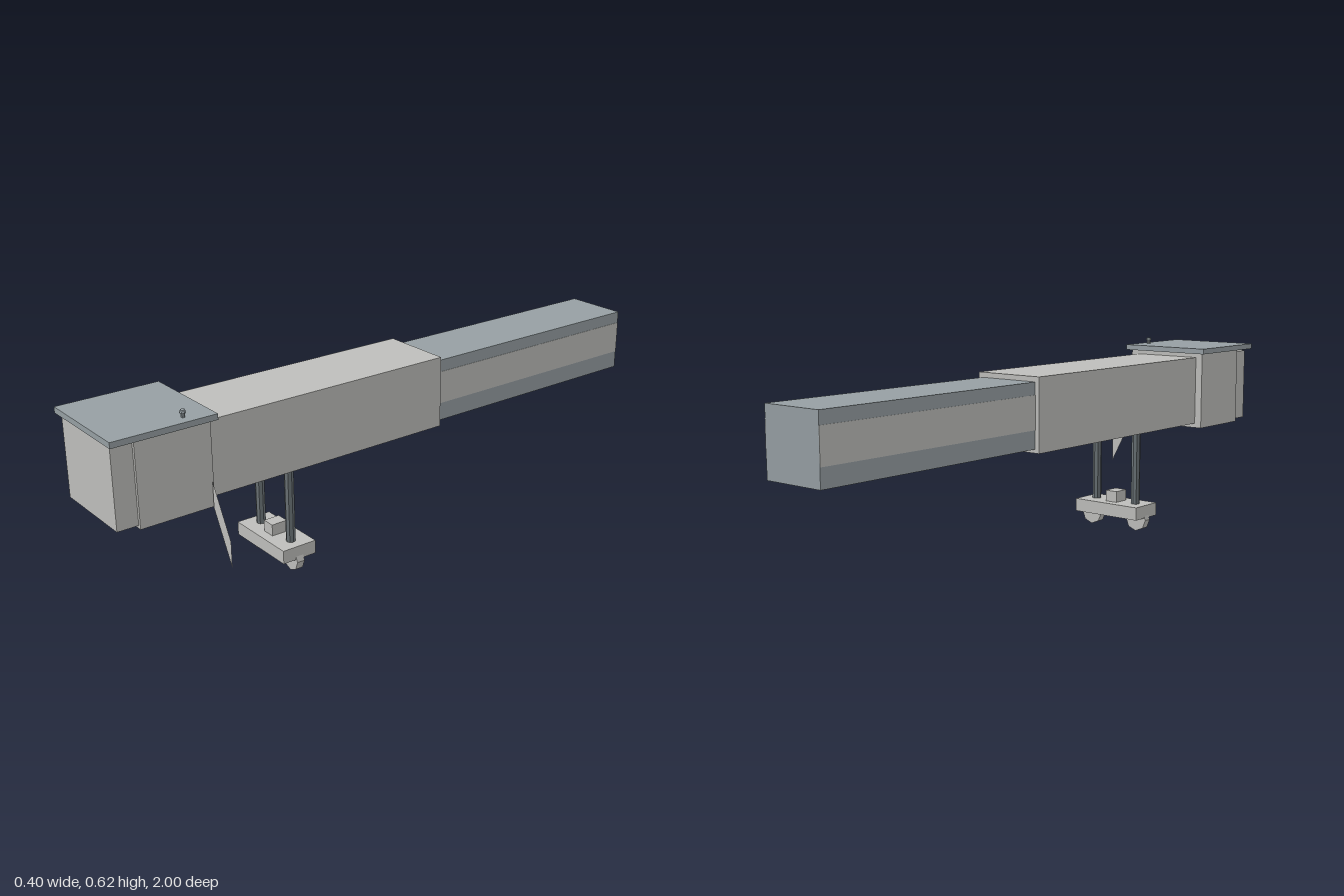
import * as THREE from 'three';

const material = (name, color, extra = {}) => {
  const m = new THREE.MeshStandardMaterial({ color, ...extra });
  m.name = name;
  return m;
};

export function createModel() {
  const model = new THREE.Group();
  model.name = 'boardingBridge';

  const lightGrey = material('lightGrey', 0xbebebb, { flatShading: true });
  const blueGrey = material('blueGrey', 0x969fa3, { flatShading: true });
  const darkGrey = material('darkGrey', 0x6b7377, { flatShading: true });
  const sheetGrey = material('lightGreySheet', 0xbebebb, { side: THREE.DoubleSide });

  const add = (name, geometry, mat, x = 0, y = 0, z = 0) => {
    const mesh = new THREE.Mesh(geometry, mat);
    mesh.name = name;
    mesh.position.set(x, y, z);
    model.add(mesh);
    return mesh;
  };
  // Box given by its limits on each axis
  const box = (name, mat, [x0, x1], [y0, y1], [z0, z1]) =>
    add(name, new THREE.BoxGeometry(x1 - x0, y1 - y0, z1 - z0), mat,
      (x0 + x1) / 2, (y0 + y1) / 2, (z0 + z1) / 2);

  // Telescoping tunnel
  box('innerTunnel', blueGrey, [-0.145, 0.065], [0.347, 0.55], [-1, -0.16]);
  box('outerTunnel', lightGrey, [-0.16, 0.08], [0.335, 0.566], [-0.163, 0.695]);

  // Pale band along both sides of the inner tunnel
  for (const [name, x] of [['leftBand', 0.065], ['rightBand', -0.145]])
    box(name, lightGrey, [x - 0.001, x + 0.001], [0.405, 0.511], [-1, -0.16]);

  // Cab, docking end and roof
  box('cab', lightGrey, [-0.185, 0.111], [0.32, 0.58], [0.692, 0.925]);
  box('dockingEnd', lightGrey, [-0.178, 0.102], [0.329, 0.573], [0.92, 0.99]);
  box('cabRoof', blueGrey, [-0.2, 0.125], [0.58, 0.598], [0.675, 1]);

  // Beacon on the roof
  const beacon = [[0, 0], [0.006, 0], [0.006, 0.014], [0.01, 0.014], [0.007, 0.023], [0, 0.023]]
    .map(([r, y]) => new THREE.Vector2(r, y));
  add('beacon', new THREE.LatheGeometry(beacon, 8), blueGrey, 0.088, 0.597, 0.762);

  // Sloping service stair, a single flat sheet
  const stair = new THREE.Shape([[0.118, 0.32], [0.2, 0.165], [0.2, 0.246], [0.118, 0.401]]
    .map(([x, y]) => new THREE.Vector2(x, y)));
  add('serviceStair', new THREE.ShapeGeometry(stair), sheetGrey, 0, 0, 0.7);

  // Undercarriage
  box('axleBeam', lightGrey, [-0.164, 0.088], [0.047, 0.09], [0.338, 0.455]);
  box('driveBox', lightGrey, [-0.06, -0.016], [0.09, 0.127], [0.37, 0.424]);
  const column = new THREE.CylinderGeometry(0.0148, 0.0148, 0.255, 8);
  const wheel = new THREE.CylinderGeometry(0.04, 0.04, 0.026, 8).rotateX(Math.PI / 2);
  for (const [side, columnX, wheelX] of [['left', 0.043, 0.055], ['right', -0.119, -0.13]]) {
    add(side + 'Column', column, darkGrey, columnX, 0.2125, 0.397);
    add(side + 'Wheel', wheel, lightGrey, wheelX, 0.04, 0.397);
  }

  return model;
}
